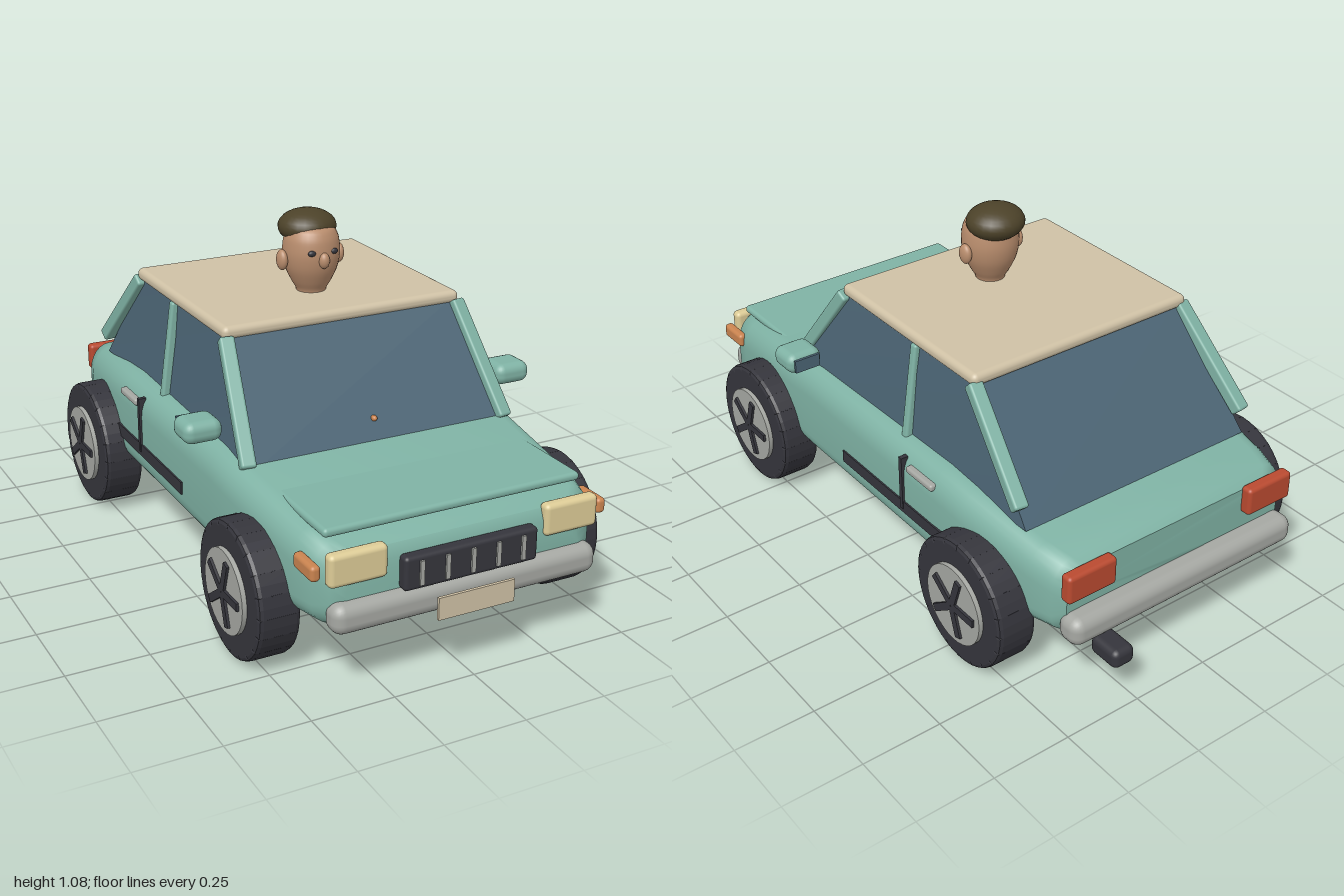
import * as THREE from 'three';
import { toCreasedNormals } from 'three/addons/utils/BufferGeometryUtils.js';
import { RoundedBoxGeometry } from 'three/addons/geometries/RoundedBoxGeometry.js';

const mat = (name, color) => {
  const m = new THREE.MeshStandardMaterial({ color });
  m.name = name;
  return m;
};

// Lofted lower body: rounded rectangles [z, half width, bottom, top] from nose to tail
function bodyGeometry() {
  const stations = [
    [0.94, 0.37, 0.23, 0.385], [0.925, 0.41, 0.212, 0.42], [0.88, 0.44, 0.2, 0.442], [0.8, 0.46, 0.2, 0.457],
    [0.45, 0.485, 0.2, 0.498], [0.33, 0.488, 0.2, 0.51], [-0.35, 0.488, 0.2, 0.507], [-0.48, 0.482, 0.2, 0.496],
    [-0.75, 0.45, 0.2, 0.46], [-0.83, 0.43, 0.205, 0.447], [-0.86, 0.4, 0.225, 0.425],
  ];
  const steps = 6, n = 4 * (steps + 1);
  const pos = [], idx = [];
  for (const [z, w, y0, y1] of stations) {
    const r = 0.07;
    const corners = [[w, y1, 0], [-w, y1, 1], [-w, y0, 2], [w, y0, 3]];
    for (const [cx, cy, q] of corners) {
      const ry = cy === y1 ? 0.09 : 0.07;
      for (let k = 0; k <= steps; k++) {
        const a = (q + k / steps) * Math.PI / 2;
        pos.push(cx - Math.sign(cx) * r + r * Math.cos(a), cy + (cy === y1 ? -ry : ry) + ry * Math.sin(a), z);
      }
    }
  }
  const last = stations.length - 1;
  for (let i = 0; i < last; i++) for (let j = 0; j < n; j++) {
    const a = i * n + j, b = i * n + (j + 1) % n, c = a + n, d = b + n;
    idx.push(a, c, b, b, c, d);
  }
  for (let j = 1; j < n - 1; j++) {
    idx.push(0, j, j + 1, last * n, last * n + j + 1, last * n + j);
  }
  const g = new THREE.BufferGeometry();
  g.setAttribute('position', new THREE.Float32BufferAttribute(pos, 3));
  g.setIndex(idx);
  return toCreasedNormals(g, 0.7);
}

// Tapered glasshouse: a box with its corners moved
function glassGeometry() {
  const g = new THREE.BoxGeometry(2, 2, 2), p = g.attributes.position;
  for (let i = 0; i < p.count; i++) {
    const sx = p.getX(i), top = p.getY(i) > 0, front = p.getZ(i) > 0;
    const w = top ? 0.38 : front ? 0.437 : 0.41;
    const z = top ? (front ? 0.233 : -0.41) : (front ? 0.482 : -0.69);
    p.setXYZ(i, sx * w, top ? 0.81 : 0.47, z);
  }
  g.computeVertexNormals();
  return g;
}

// Tyre with tread lugs, axle along z
function tyreGeometry() {
  const s = new THREE.Shape(), lugs = 20;
  for (let i = 0; i < lugs; i++) {
    [[0.04, 0.181], [0.12, 0.19], [0.5, 0.19], [0.92, 0.19], [1, 0.181]].forEach(([f, r], k) => {
      const a = (i + f) / lugs * Math.PI * 2;
      s[i + k === 0 ? 'moveTo' : 'lineTo'](r * Math.cos(a), r * Math.sin(a));
    });
  }
  const g = new THREE.ExtrudeGeometry(s, { depth: 0.098, bevelEnabled: true, bevelThickness: 0.014, bevelSize: 0.012, bevelSegments: 2 });
  return g.translate(0, 0, -0.049);
}

export function createModel() {
  const car = new THREE.Group();
  car.name = 'car';
  const green = mat('body green', 0x7fb2a4), cream = mat('roof cream', 0xcfc1a5), lamp = mat('headlight yellow', 0xdccb96);
  const dark = mat('dark rubber', 0x35353c), silver = mat('silver', 0xa5a7a2), orange = mat('orange', 0xc9834f);
  const red = mat('tail light red', 0xb94a30), blue = mat('glass blue', 0x4c6575);
  const skin = mat('skin', 0xb98d6d), hair = mat('hair brown', 0x4c4229);

  const add = (name, geo, m, x = 0, y = 0, z = 0, parent = car) => {
    const mesh = new THREE.Mesh(geo, m);
    mesh.name = name;
    mesh.position.set(x, y, z);
    parent.add(mesh);
    return mesh;
  };
  const box = (name, m, size, at, r = 0, parent = car) => add(name,
    r ? new RoundedBoxGeometry(...size, 3, r) : new THREE.BoxGeometry(...size), m, ...at, parent);
  const ball = (name, m, size, at) => {
    const mesh = add(name, new THREE.SphereGeometry(1, 24, 16), m, ...at);
    mesh.scale.set(...size);
    return mesh;
  };
  const pillar = (name, a, b, w, d) => {
    const A = new THREE.Vector3(...a), B = new THREE.Vector3(...b);
    const mid = A.clone().add(B).multiplyScalar(0.5);
    box(name, green, [w, d, A.distanceTo(B)], mid.toArray(), 0.008).lookAt(B);
  };

  // Shell
  add('body', bodyGeometry(), green);
  box('hood', green, [0.81, 0.026, 0.42], [0, 0.466, 0.675], 0.012);
  add('windows', glassGeometry(), blue);
  box('roof', cream, [0.79, 0.04, 0.68], [0, 0.813, -0.093], 0.018);

  // Front and rear fittings
  box('frontBumper', silver, [0.835, 0.09, 0.08], [0, 0.247, 0.935], 0.035);
  box('rearBumper', silver, [0.835, 0.09, 0.09], [0, 0.247, -0.878], 0.035);
  box('frontPlate', cream, [0.24, 0.067, 0.009], [0, 0.233, 0.9955]);
  box('plateBracket', dark, [0.1, 0.03, 0.03], [0, 0.24, 0.978]);
  box('grille', dark, [0.42, 0.1, 0.04], [0, 0.341, 0.953], 0.012);
  for (let i = -2; i <= 2; i++) box('grilleBar', silver, [0.013, 0.072, 0.01], [i * 0.08, 0.341, 0.974]);
  box('exhaust', dark, [0.075, 0.06, 0.11], [0.303, 0.177, -0.945], 0.02);
  ball('dashOrnament', orange, [0.009, 0.009, 0.012], [0, 0.55, 0.425]);

  const tyre = tyreGeometry();
  for (const s of [1, -1]) {
    // Lights
    box('headlight', lamp, [0.175, 0.096, 0.04], [s * 0.335, 0.387, 0.933], 0.015);
    box('indicator', orange, [0.03, 0.046, 0.11], [s * 0.451, 0.383, 0.877], 0.012);
    box('tailLight', red, [0.17, 0.09, 0.04], [s * 0.335, 0.39, -0.873], 0.012);

    // Pillars
    pillar('frontPillar', [s * 0.425, 0.49, 0.468], [s * 0.385, 0.8, 0.238], 0.045, 0.04);
    pillar('middlePillar', [s * 0.428, 0.49, -0.14], [s * 0.385, 0.8, -0.14], 0.028, 0.028);
    pillar('rearPillar', [s * 0.416, 0.535, -0.672], [s * 0.383, 0.8, -0.413], 0.045, 0.042);

    // Side fittings
    box('mirror', green, [0.118, 0.066, 0.11], [s * 0.517, 0.583, 0.33], 0.028);
    box('mirrorGlass', blue, [0.085, 0.042, 0.008], [s * 0.517, 0.583, 0.273]);
    box('doorSeam', dark, [0.025, 0.18, 0.015], [s * 0.483, 0.39, -0.2]);
    box('doorHandle', silver, [0.04, 0.022, 0.13], [s * 0.476, 0.455, -0.292], 0.008);
    box('sideTrim', dark, [0.02, 0.04, 0.53], [s * 0.483, 0.306, -0.135]);

    // Wheels
    for (const z of [0.6, -0.56]) {
      const wheel = new THREE.Group();
      wheel.name = 'wheel';
      wheel.position.set(s * 0.49, 0.205, z);
      wheel.rotation.y = s * Math.PI / 2;
      car.add(wheel);
      add('tyre', tyre, dark, 0, 0, 0, wheel);
      const rim = new THREE.CylinderGeometry(0.125, 0.125, 0.016, 32).rotateX(Math.PI / 2);
      add('rim', rim, silver, 0, 0, 0.069, wheel);
      for (let k = 0; k < 5; k++) {
        const a = k * Math.PI * 2 / 5;
        const spoke = box('spoke', dark, [0.1, 0.024, 0.009], [0.052 * Math.cos(a), 0.052 * Math.sin(a), 0.0805], 0, wheel);
        spoke.rotation.z = a;
      }
    }

    // Seat legs and feet below the floor
    for (const z of [0.208, -0.19]) {
      box('seatLeg', orange, [0.07, 0.18, 0.08], [s * 0.1, 0.15, z], 0.008);
      box('seatFoot', dark, [0.075, 0.067, 0.122], [s * 0.1, 0.052, z + 0.022], 0.018);
    }
    // Driver's legs and shoes
    box('driverLeg', blue, [0.07, 0.16, 0.1], [s * 0.066, 0.16, 0.003], 0.012);
    box('driverShoe', dark, [0.09, 0.07, 0.195], [s * 0.066, 0.066, 0.053], 0.018);
    box('driverSole', blue, [0.1, 0.018, 0.205], [s * 0.066, 0.025, 0.06], 0.007);

    // Driver's face sides
    ball('ear', skin, [0.016, 0.032, 0.025], [s * 0.096, 0.936, 0.017]);
    ball('eye', dark, [0.013, 0.009, 0.008], [s * 0.037, 0.968, 0.101]);
  }

  // Driver's head
  const profile = [[0.046, 0.8], [0.046, 0.835], [0.062, 0.865], [0.08, 0.905], [0.088, 0.945],
    [0.087, 0.98], [0.08, 1.01], [0.06, 1.035], [0, 1.05]].map(([r, y]) => new THREE.Vector2(r, y));
  const curve = new THREE.SplineCurve(profile).getPoints(32);
  curve[curve.length - 1].x = 0;
  add('head', new THREE.LatheGeometry(curve, 32), skin, 0, 0, 0.022);
  ball('nose', skin, [0.017, 0.025, 0.018], [0, 0.944, 0.108]);
  ball('hair', hair, [0.091, 0.053, 0.087], [0, 1.027, -0.005]);

  return car;
}
